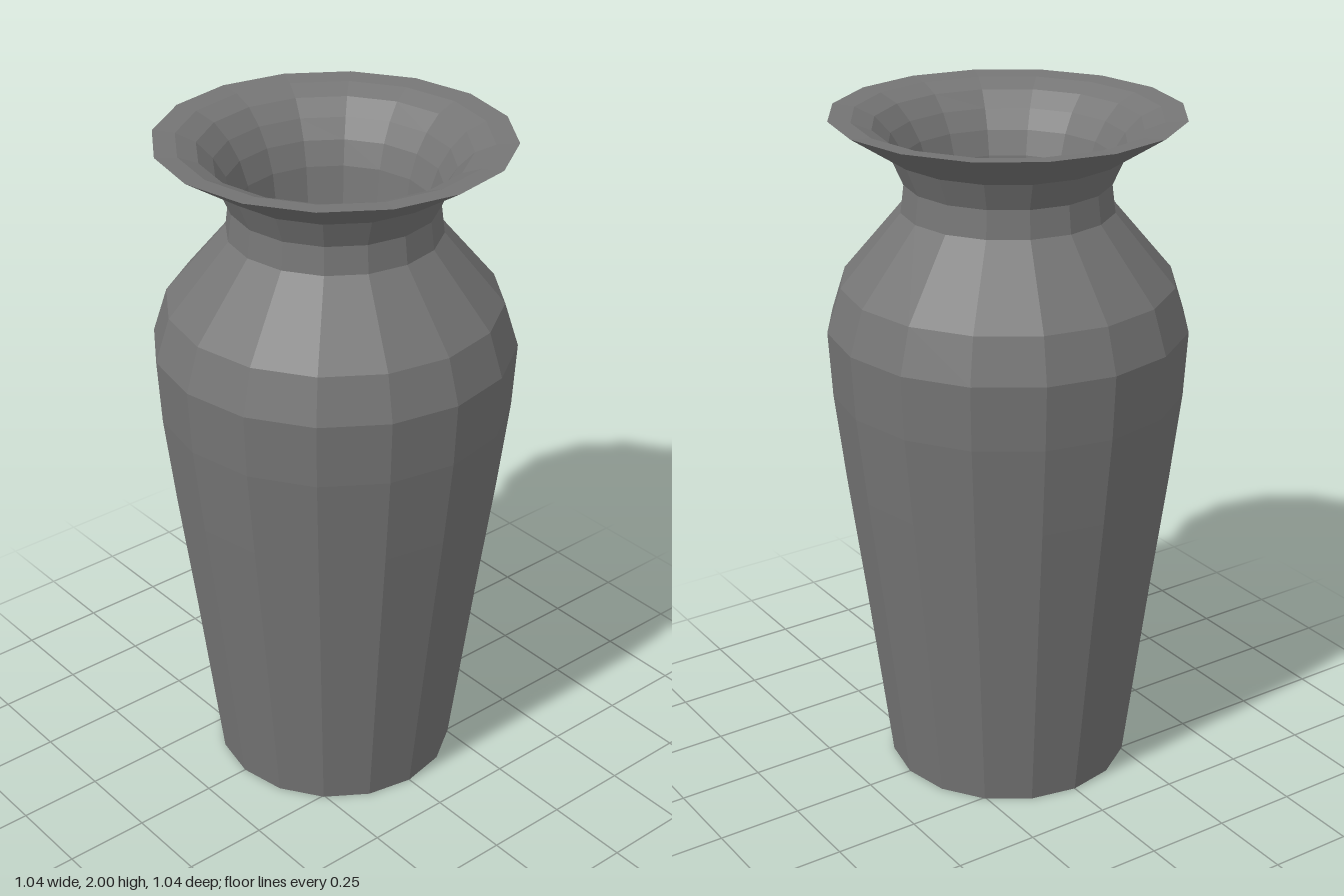
import * as THREE from 'three';

const SIDES = 16;
const grey = new THREE.MeshStandardMaterial({ color: 0x757575, flatShading: true, side: THREE.DoubleSide });

// Faceted surface of revolution from [radius, height] pairs
function turned(name, profile) {
  const points = profile.map(([r, y]) => new THREE.Vector2(r, y));
  const mesh = new THREE.Mesh(new THREE.LatheGeometry(points, SIDES), grey);
  mesh.name = name;
  return mesh;
}

// Flat four-cornered facet spanned by two edges from a corner
function facet(name, corner, edgeA, edgeB) {
  const a = corner.clone().add(edgeA);
  const b = corner.clone().add(edgeB);
  const far = a.clone().add(edgeB);
  const geometry = new THREE.BufferGeometry().setFromPoints([corner, a, far, corner, far, b]);
  geometry.computeVertexNormals();
  const mesh = new THREE.Mesh(geometry, grey);
  mesh.name = name;
  return mesh;
}

export function createModel() {
  const vase = new THREE.Group();
  vase.name = 'vase';

  // Base, tapered body, shoulder, neck and flared rim
  vase.add(turned('outerWall', [
    [0, 0], [0.36, 0], [0.385, 0.2], [0.432, 0.58], [0.478, 0.93], [0.51, 1.2],
    [0.521, 1.39], [0.48, 1.52], [0.305, 1.73], [0.295, 1.81], [0.33, 1.89], [0.5, 2],
  ]));

  // Nearly flat lip curving into a narrowing funnel with a floor
  const floorY = 1.05;
  vase.add(turned('innerWall', [
    [0.5, 2], [0.437, 1.994], [0.38, 1.97], [0.335, 1.925], [0.3, 1.87],
    [0.275, 1.8], [0.25, 1.63], [0.225, 1.37], [0.19, floorY], [0, floorY],
  ]));

  // Two sloping facets over one half of the floor, meeting in a valley and running into the wall
  const centre = new THREE.Vector3(-0.005, floorY + 0.01, 0);
  const valley = new THREE.Vector3(0.215, 0, 0.112);
  vase.add(facet('backFloorFacet', centre, valley, new THREE.Vector3(0.155, 0.36, -0.235)));
  vase.add(facet('frontFloorFacet', centre, new THREE.Vector3(-0.15, 0.48, 0.238), valley));

  return vase;
}
